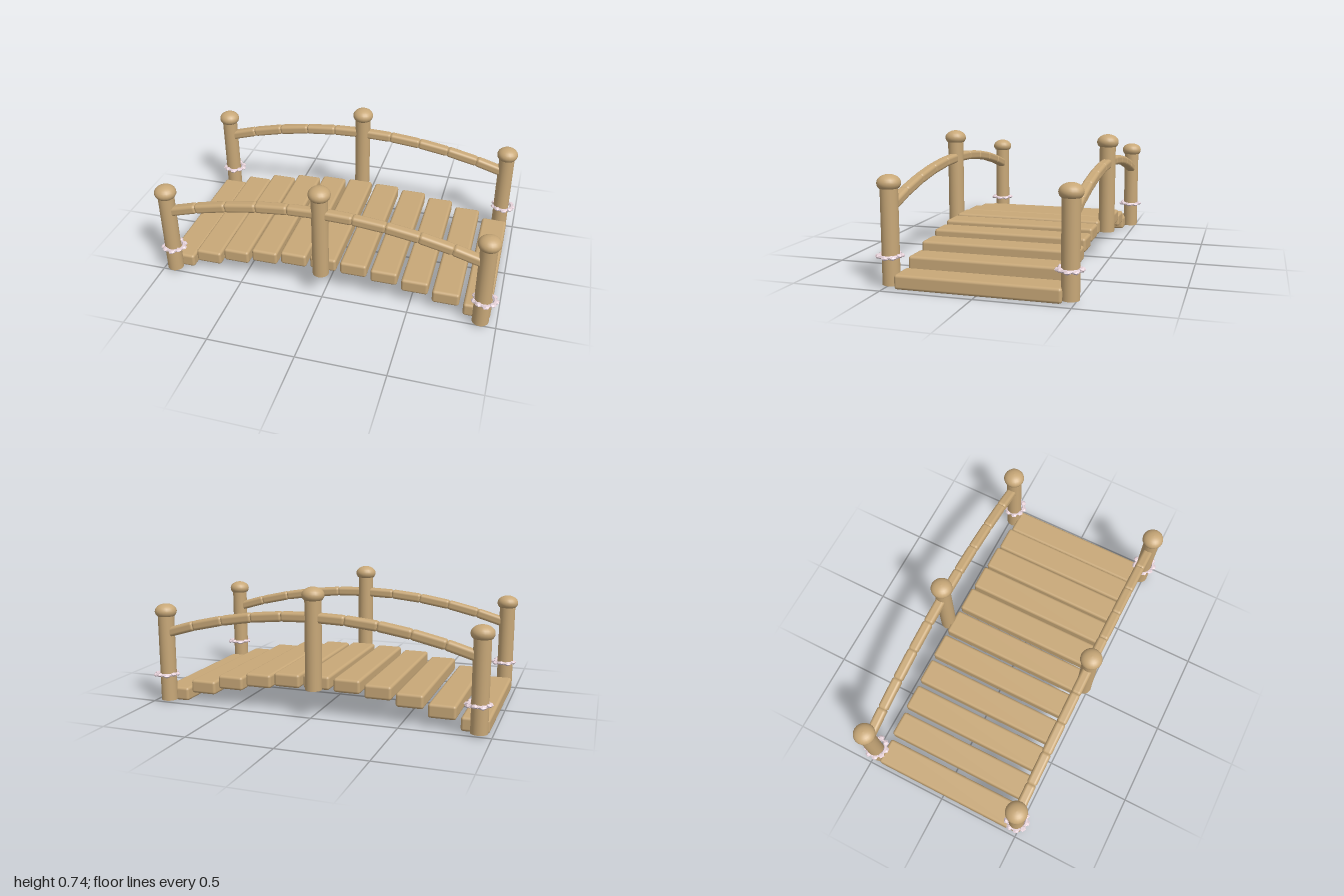
import * as THREE from 'three';
import { RoundedBoxGeometry } from 'three/addons/geometries/RoundedBoxGeometry.js';

const MID = -0.01;       // centre of the span
const HALF = 0.92;       // middle post to end post
const RAIL_Z = 0.475;

export function createModel() {
  const bridge = new THREE.Group();
  bridge.name = 'footbridge';
  const wood = new THREE.MeshStandardMaterial({ color: 0xc8a878 });
  const petal = new THREE.MeshStandardMaterial({ color: 0xe6d2da, flatShading: true });

  const add = (parent, name, geometry, material, x = 0, y = 0, z = 0) => {
    const mesh = new THREE.Mesh(geometry, material);
    mesh.name = name;
    mesh.position.set(x, y, z);
    parent.add(mesh);
    return mesh;
  };

  // Deck planks stepping along a parabola
  const plankGeo = new RoundedBoxGeometry(0.155, 0.08, 0.884, 2, 0.016);
  for (let i = 0; i < 11; i++) {
    const u = (i - 5) / 5;
    add(bridge, 'plank', plankGeo, wood, MID + u * 0.892, 0.195 - 0.15 * u * u, 0);
  }

  // Flattened dome cap with a closed underside
  const capProfile = [new THREE.Vector2(0, -0.027)];
  for (let i = 0; i <= 10; i++) {
    const a = Math.PI * 0.7 * (1 - i / 10);
    capProfile.push(new THREE.Vector2(0.063 * Math.sin(a), 0.045 * Math.cos(a)));
  }
  const capGeo = new THREE.LatheGeometry(capProfile, 20);
  const postGeo = new THREE.CylinderGeometry(0.047, 0.047, 0.52, 20);
  const bandGeo = new THREE.TorusGeometry(0.056, 0.009, 6, 16);
  const knobGeo = new THREE.IcosahedronGeometry(0.02, 0);

  // Garland ring of small flat blossoms
  const addGarland = (x, z) => {
    const garland = new THREE.Group();
    garland.name = 'garland';
    garland.position.set(x, 0.175, z);
    add(garland, 'garlandBand', bandGeo, petal).rotation.x = Math.PI / 2;
    for (let i = 0; i < 9; i++) {
      const a = (i / 9) * Math.PI * 2;
      const y = i % 2 ? 0.003 : -0.003;
      const knob = add(garland, 'blossom', knobGeo, petal, 0.06 * Math.cos(a), y, 0.06 * Math.sin(a));
      knob.rotation.y = -a;
      knob.scale.set(0.95, 0.6, 1.1);
    }
    bridge.add(garland);
  };

  const railY = u => 0.572 - 0.15 * u * u;
  for (const side of [-1, 1]) {
    const z = side * RAIL_Z;

    // Posts: the middle one stands on the crown of the arch
    for (const u of [-1, 0, 1]) {
      const x = MID + u * HALF;
      const base = u === 0 ? 0.165 : 0.02;
      add(bridge, 'post', postGeo, wood, x, base + 0.26, z);
      add(bridge, 'postCap', capGeo, wood, x, base + 0.53, z);
      if (u !== 0) addGarland(u * 0.922, z);
    }

    // Handrail made of short straight pieces along the arch
    for (let i = 0; i < 10; i++) {
      const u0 = -1 + i / 5, u1 = u0 + 0.2;
      const dx = (u1 - u0) * HALF, dy = railY(u1) - railY(u0);
      const geo = new RoundedBoxGeometry(Math.hypot(dx, dy) + 0.008, 0.056, 0.058, 3, 0.018);
      const rail = add(bridge, 'railSegment', geo, wood,
        MID + (u0 + u1) / 2 * HALF, (railY(u0) + railY(u1)) / 2, z);
      rail.rotation.z = Math.atan2(dy, dx);
    }
  }
  return bridge;
}
